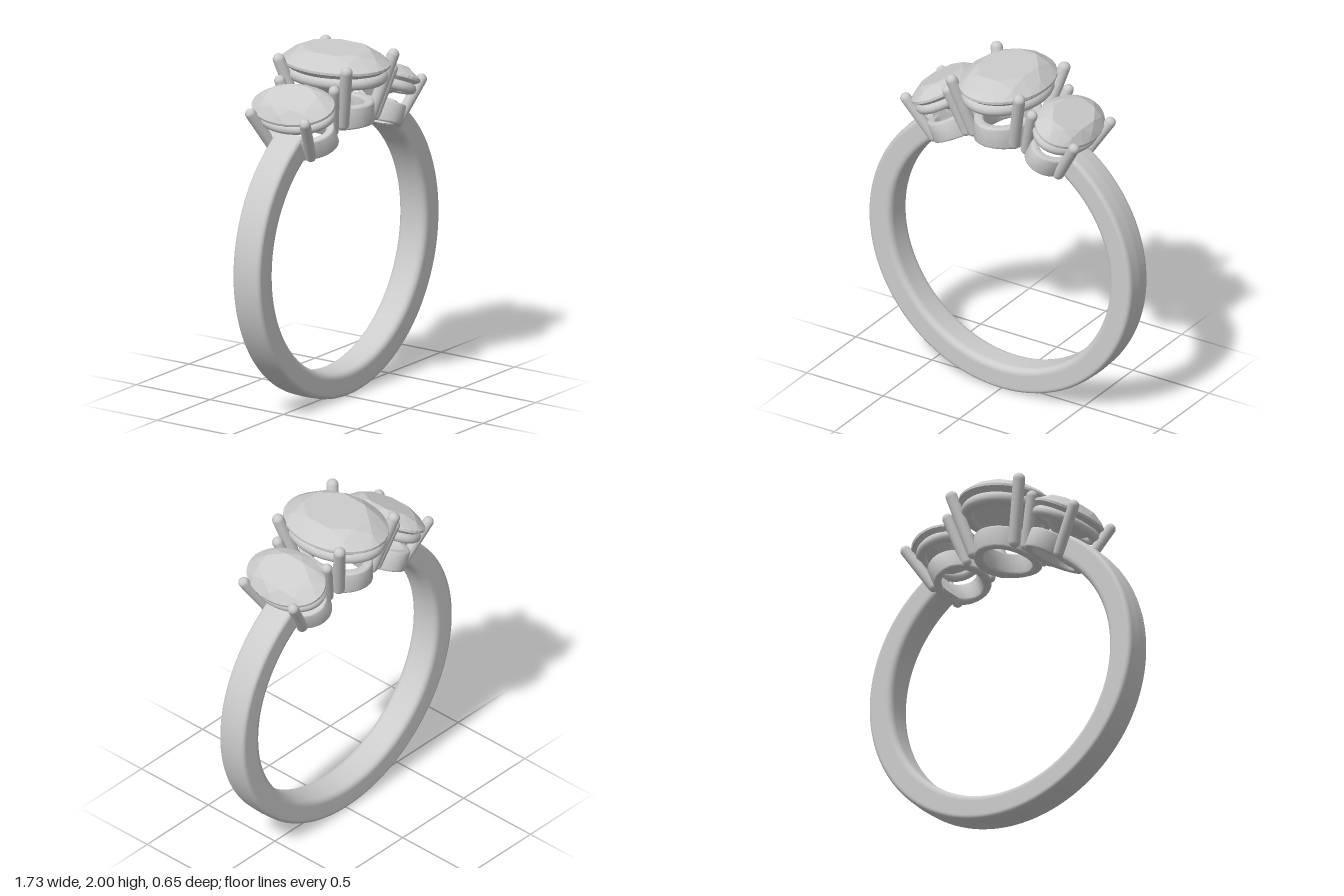
import * as THREE from 'three';
import { toCreasedNormals } from 'three/addons/utils/BufferGeometryUtils.js';
import { ConvexGeometry } from 'three/addons/geometries/ConvexGeometry.js';

const CENTRE_Y = 0.87, INNER = 0.715, OUTER = 0.866, HALF_WIDTH = 0.092;
const GAP = THREE.MathUtils.degToRad(31);
const TILT = THREE.MathUtils.degToRad(24.5);
const metal = new THREE.MeshStandardMaterial({ color: 0xcccccc });
const capMetal = new THREE.MeshStandardMaterial({ color: 0xcccccc, side: THREE.DoubleSide });
const gem = new THREE.MeshStandardMaterial({ color: 0xcccccc, flatShading: true });

function add(parent, name, geometry, material = metal) {
  const mesh = new THREE.Mesh(geometry, material);
  mesh.name = name;
  parent.add(mesh);
  return mesh;
}

// Points on an oval in the horizontal plane
function oval(n, rx, rz, y, offset = 0) {
  return Array.from({ length: n }, (_, i) => {
    const a = ((i + offset) / n) * Math.PI * 2;
    return new THREE.Vector3(rx * Math.cos(a), y, rz * Math.sin(a));
  });
}

// Band cross-section: x is the radius, y the width; inner edges are rounder
function bandProfile() {
  const w = HALF_WIDTH, o = 0.03, i = 0.04;
  const s = new THREE.Shape();
  s.moveTo(OUTER, 0);
  s.lineTo(OUTER - 0.003, w - o);
  s.quadraticCurveTo(OUTER - 0.004, w, OUTER - o, w);
  s.lineTo(INNER + i, w);
  s.quadraticCurveTo(INNER + 0.004, w, INNER, w - i);
  s.lineTo(INNER, i - w);
  s.quadraticCurveTo(INNER + 0.004, -w, INNER + i, -w);
  s.lineTo(OUTER - o, -w);
  s.quadraticCurveTo(OUTER - 0.004, -w, OUTER - 0.003, o - w);
  s.lineTo(OUTER, 0);
  return s;
}

function buildBand(parent) {
  const profile = bandProfile();
  const sweep = 2 * (Math.PI - GAP);
  const band = new THREE.LatheGeometry(profile.getPoints(8), 128, -sweep / 2, sweep);
  add(parent, 'band', band.rotateX(Math.PI / 2));
  // Closed ends where the band meets the side settings
  for (const side of [1, -1]) {
    const cap = new THREE.ShapeGeometry(profile, 8);
    cap.rotateX(Math.PI / 2).rotateZ(Math.PI / 2 - side * GAP);
    add(parent, side > 0 ? 'leftBandEnd' : 'rightBandEnd', cap, capMetal);
  }
}

// Faceted oval stone: table, crown, girdle, pavilion and point
function stoneGeometry({ rx, rz, girdle, crown, depth }) {
  return new ConvexGeometry([
    ...oval(8, rx * 0.64, rz * 0.64, girdle + crown, 0.5),
    ...oval(8, rx * 0.84, rz * 0.84, girdle + crown * 0.6),
    ...oval(32, rx, rz, girdle + 0.006),
    ...oval(32, rx, rz, girdle - 0.008),
    ...oval(8, rx * 0.53, rz * 0.53, girdle - depth * 0.52),
    new THREE.Vector3(0, girdle - depth, 0),
  ]);
}

// Oval collar whose underside follows the finger hole
function basketGeometry({ bx, bz, top, wall }) {
  const shape = new THREE.Shape().absellipse(0, 0, bx, bz, 0, Math.PI * 2);
  shape.holes.push(new THREE.Path().absellipse(0, 0, bx - wall, bz - wall, 0, Math.PI * 2));
  const g = new THREE.ExtrudeGeometry(shape, {
    depth: 0.8, curveSegments: 40, bevelThickness: 0.1,
    bevelSize: 0.012, bevelOffset: -0.012, bevelSegments: 3,
  });
  g.translate(0, 0, 0.1).rotateX(-Math.PI / 2);
  const p = g.attributes.position;
  for (let i = 0; i < p.count; i++) {
    const bottom = Math.sqrt(INNER ** 2 - p.getX(i) ** 2);
    p.setY(i, THREE.MathUtils.lerp(bottom, top, p.getY(i)));
  }
  return toCreasedNormals(g, 0.7);
}

// Round-ended claw between two points
function addProng(parent, from, to, radius) {
  const dir = to.clone().sub(from);
  const prong = add(parent, 'prong', new THREE.CapsuleGeometry(radius, dir.length(), 8, 20));
  prong.position.copy(from).add(to).multiplyScalar(0.5);
  prong.quaternion.setFromUnitVectors(new THREE.Vector3(0, 1, 0), dir.normalize());
}

// One complete setting, built upright with its origin at the ring's centre
function buildSetting(name, s) {
  const g = new THREE.Group();
  g.name = name;
  add(g, 'stone', stoneGeometry(s), gem);
  add(g, 'basket', basketGeometry(s));
  const path = new THREE.CatmullRomCurve3(oval(24, s.railX, s.railZ, s.railY), true);
  add(g, 'galleryRail', new THREE.TubeGeometry(path, 80, s.railR, 14, true));
  for (const x of [1, -1]) for (const z of [1, -1]) {
    const flip = ([a, b, c]) => new THREE.Vector3(a * x, b, c * z);
    addProng(g, flip(s.foot), flip(s.tip), s.prongR);
  }
  return g;
}

export function createModel() {
  const model = new THREE.Group();
  model.name = 'threeStoneRing';
  const ring = new THREE.Group();
  ring.name = 'ring';
  ring.position.y = CENTRE_Y;
  model.add(ring);

  buildBand(ring);

  ring.add(buildSetting('centreSetting', {
    rx: 0.25, rz: 0.325, girdle: 1.05, crown: 0.08, depth: 0.225,
    bx: 0.17, bz: 0.23, top: 0.84, wall: 0.055,
    railX: 0.2, railZ: 0.275, railY: 0.985, railR: 0.036,
    foot: [0.135, 0.745, 0.145], tip: [0.222, 1.075, 0.23], prongR: 0.034,
  }));

  for (const side of [1, -1]) {
    const setting = buildSetting(side > 0 ? 'leftSetting' : 'rightSetting', {
      rx: 0.172, rz: 0.26, girdle: 0.98, crown: 0.062, depth: 0.16,
      bx: 0.142, bz: 0.215, top: 0.832, wall: 0.048,
      railX: 0.136, railZ: 0.218, railY: 0.925, railR: 0.03,
      foot: [0.117, 0.735, 0.122], tip: [0.152, 1.0, 0.185], prongR: 0.031,
    });
    setting.rotation.z = -side * TILT;
    ring.add(setting);
  }
  return model;
}
